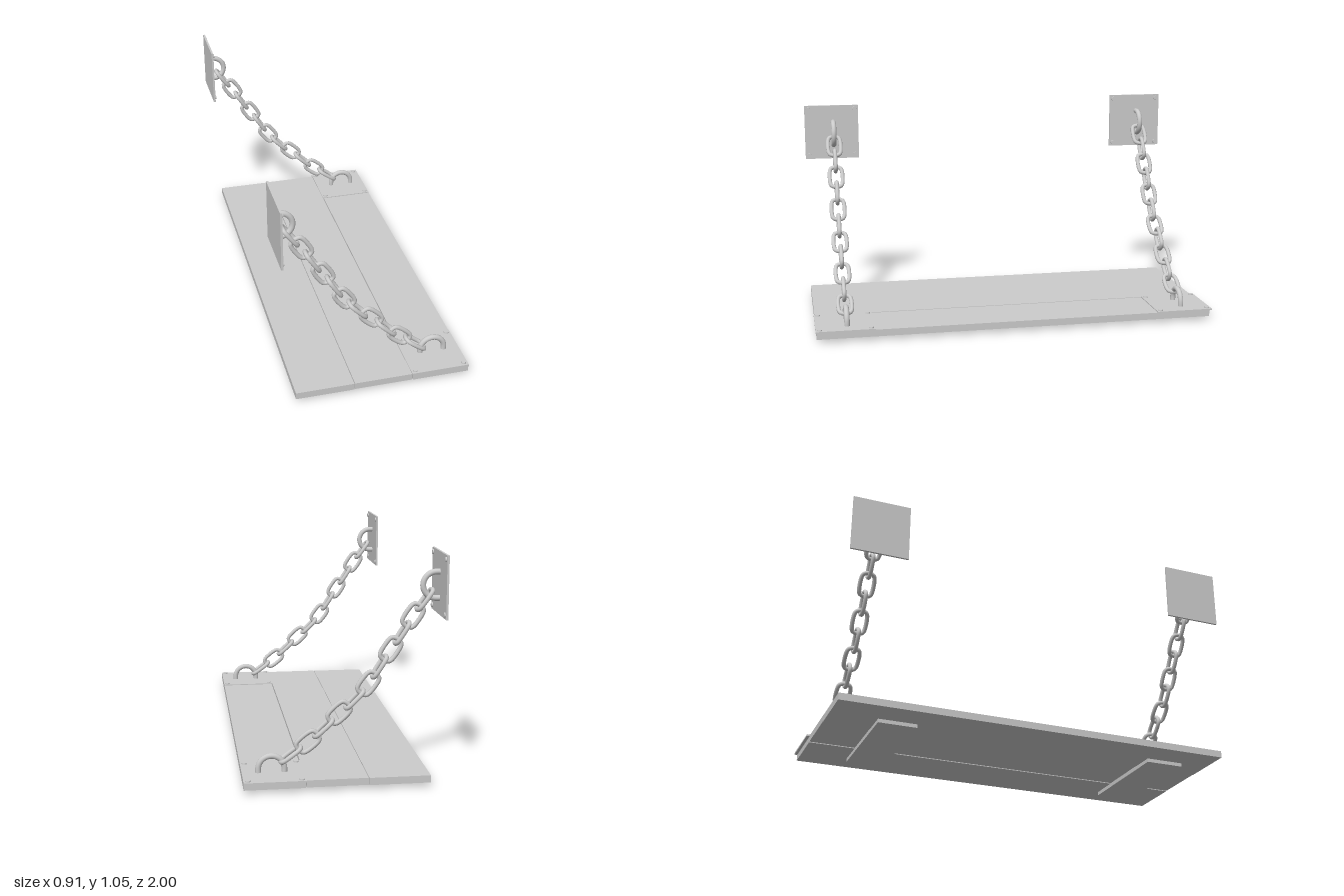
import * as THREE from 'three';

const material = new THREE.MeshStandardMaterial({ color: 0xcccccc });

function addMesh(parent, name, geometry, x = 0, y = 0, z = 0) {
  const mesh = new THREE.Mesh(geometry, material);
  mesh.name = name;
  mesh.position.set(x, y, z);
  parent.add(mesh);
  return mesh;
}

// Box given by its minimum and maximum on each axis
function addBox(parent, name, [x0, x1], [y0, y1], [z0, z1]) {
  return addMesh(parent, name, new THREE.BoxGeometry(x1 - x0, y1 - y0, z1 - z0),
    (x0 + x1) / 2, (y0 + y1) / 2, (z0 + z1) / 2);
}

// Chain link: rounded rectangle, long along x, lying in the xy plane
function linkGeometry() {
  const halfLength = 0.056, halfWidth = 0.032, corner = 0.023;
  const points = [];
  for (let q = 0; q < 4; q++) {
    const cx = (q === 0 || q === 3 ? 1 : -1) * (halfLength - corner);
    const cy = (q < 2 ? 1 : -1) * (halfWidth - corner);
    for (let i = 0; i <= 2; i++) {
      const a = (q + i / 2) * Math.PI / 2;
      points.push(new THREE.Vector3(cx + corner * Math.cos(a), cy + corner * Math.sin(a), 0));
    }
  }
  const curve = new THREE.CatmullRomCurve3(points, true, 'centripetal');
  return new THREE.TubeGeometry(curve, 36, 0.0105, 10, true);
}

// Half ring with short straight legs, opening downwards at y = 0
function ringGeometry() {
  const radius = 0.06, leg = 0.02;
  const points = [new THREE.Vector3(radius, 0, 0)];
  for (let i = 0; i <= 12; i++) {
    const a = i / 12 * Math.PI;
    points.push(new THREE.Vector3(radius * Math.cos(a), leg + radius * Math.sin(a), 0));
  }
  points.push(new THREE.Vector3(-radius, 0, 0));
  const curve = new THREE.CatmullRomCurve3(points, false, 'centripetal');
  return new THREE.TubeGeometry(curve, 32, 0.0135, 12, false);
}

const link = linkGeometry();
const ring = ringGeometry();
const screw = new THREE.CylinderGeometry(0.011, 0.012, 0.008, 12);

// Square plate lying flat with its top at y = 0, with corner screws and a ring
function mountingPlate(name, width, depth, thickness, ringX, ringZ) {
  const group = new THREE.Group();
  group.name = name;
  addMesh(group, 'plate', new THREE.BoxGeometry(width, thickness, depth), 0, -thickness / 2, 0);
  for (const sx of [-1, 1]) {
    for (const sz of [-1, 1]) {
      addMesh(group, 'screw', screw, sx * (width / 2 - 0.02), 0.002, sz * (depth / 2 - 0.02));
    }
  }
  addMesh(group, 'ring', ring, ringX, -0.004, ringZ);
  return group;
}

// Link centres of one chain, from wall ring to shelf ring
const linkCentres = [
  [-0.380, 0.822], [-0.327, 0.750], [-0.278, 0.672], [-0.227, 0.597],
  [-0.176, 0.518], [-0.126, 0.442], [-0.063, 0.370], [0.007, 0.309],
  [0.079, 0.240], [0.150, 0.177], [0.229, 0.120],
];

function chain(name, z, lift) {
  const group = new THREE.Group();
  group.name = name;
  linkCentres.forEach(([x, y], i) => {
    const a = linkCentres[Math.max(i - 1, 0)];
    const b = linkCentres[Math.min(i + 1, linkCentres.length - 1)];
    const mesh = addMesh(group, 'chainLink', link, x, y + lift, z);
    // Every other link is turned a quarter about the chain's direction
    mesh.rotation.order = 'ZYX';
    mesh.rotation.z = Math.atan2(b[1] - a[1], b[0] - a[0]);
    mesh.rotation.x = i % 2 === 0 ? Math.PI / 2 : 0;
  });
  return group;
}

export function createModel() {
  const model = new THREE.Group();
  model.name = 'hangingShelf';

  // Three long planks with narrow gaps
  addBox(model, 'plank', [-0.396, -0.114], [0.018, 0.052], [-0.985, 0.995]);
  addBox(model, 'plank', [-0.111, 0.170], [0.02, 0.053], [-0.985, 0.995]);
  addBox(model, 'plank', [0.175, 0.453], [0.018, 0.052], [-0.985, 0.995]);

  // Battens underneath
  addBox(model, 'batten', [-0.245, 0.328], [0, 0.02], [0.655, 0.85]);
  addBox(model, 'batten', [-0.245, 0.328], [0, 0.02], [-0.757, -0.565]);

  const sides = [
    { side: 'front', chainZ: 0.845, shelfZ: 0.855, wallZ: 0.853, wallX: -0.442, wallY: 0.89, ringY: 0.884, lift: 0 },
    { side: 'back', chainZ: -0.857, shelfZ: -0.855, wallZ: -0.847, wallX: -0.447, wallY: 0.911, ringY: 0.904, lift: 0.016 },
  ];
  for (const s of sides) {
    // Plate and ring on the shelf
    const shelfPlate = mountingPlate(s.side + 'ShelfPlate', 0.283, 0.288, 0.008,
      0.006, s.chainZ - s.shelfZ);
    shelfPlate.position.set(0.312, 0.0565, s.shelfZ);
    model.add(shelfPlate);

    // Plate and ring on the wall, turned to face +x
    const wallPlate = mountingPlate(s.side + 'WallPlate', 0.287, 0.286, 0.010,
      s.wallY - s.ringY, s.chainZ - s.wallZ);
    wallPlate.rotation.z = -Math.PI / 2;
    wallPlate.position.set(s.wallX, s.wallY, s.wallZ);
    model.add(wallPlate);

    model.add(chain(s.side + 'Chain', s.chainZ, s.lift));
  }
  return model;
}
